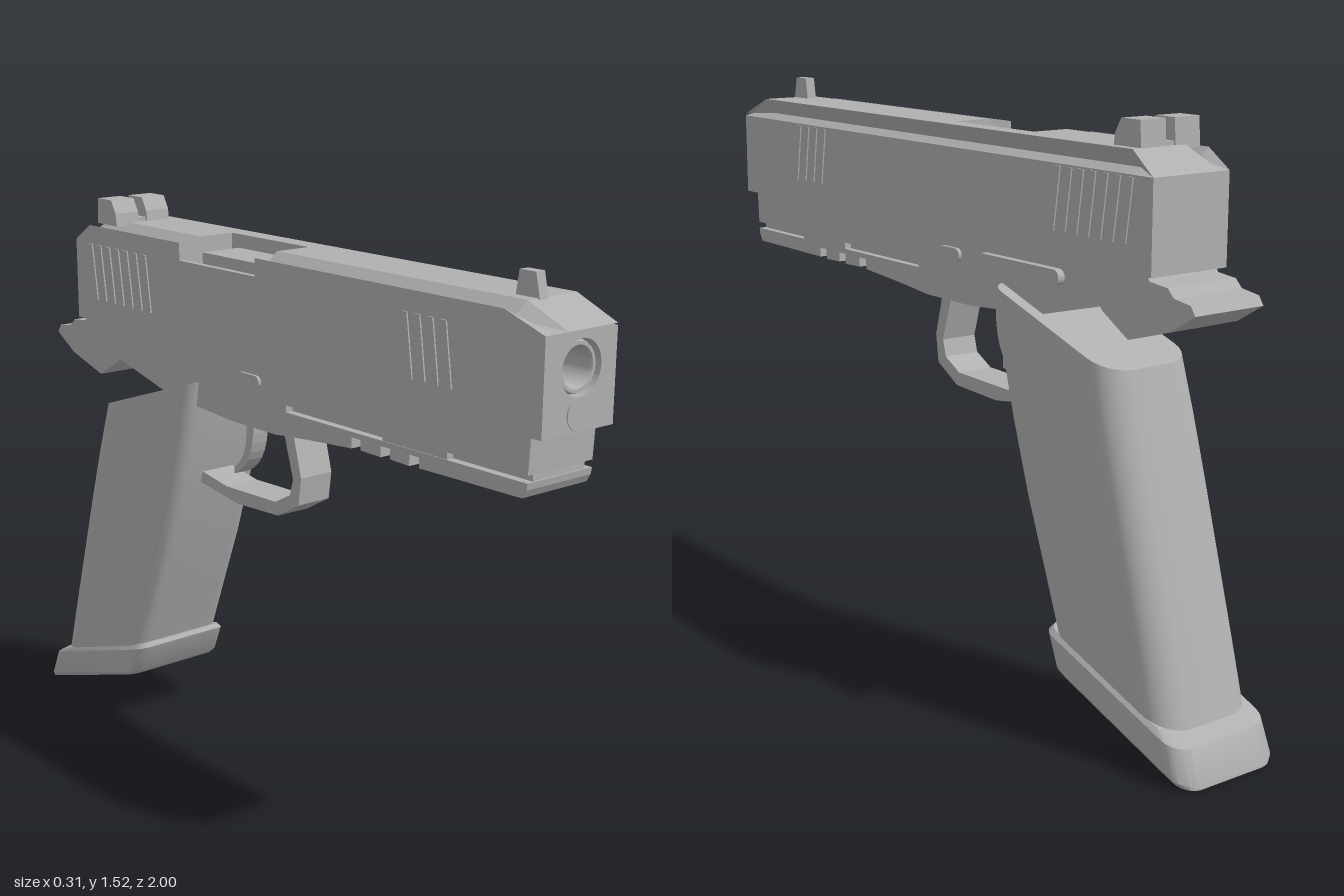
import * as THREE from 'three';
import { toCreasedNormals } from 'three/addons/utils/BufferGeometryUtils.js';

export function createModel() {
  const model = new THREE.Group();
  model.name = 'model';
  const grey = new THREE.MeshStandardMaterial({ color: 0xb0b0b0 });
  grey.name = 'plain grey';

  const add = (name, geo, parent = model) => {
    const mesh = new THREE.Mesh(geo, grey);
    mesh.name = name;
    parent.add(mesh);
    return mesh;
  };
  const shapeOf = pts => new THREE.Shape(pts.map(p => new THREE.Vector2(p[0], p[1])));
  const box = (name, x0, x1, y0, y1, z0, z1, parent) => add(name,
    new THREE.BoxGeometry(x1 - x0, y1 - y0, z1 - z0)
      .translate((x0 + x1) / 2, (y0 + y1) / 2, (z0 + z1) / 2), parent);

  // Side outline of [z, y] points, given width along x
  const side = (name, shape, x0, x1, parent) => {
    const s = Array.isArray(shape) ? shapeOf(shape) : shape;
    const geo = new THREE.ExtrudeGeometry(s, { depth: x1 - x0, bevelEnabled: false, curveSegments: 8 });
    return add(name, geo.rotateY(-Math.PI / 2).translate(x1, 0, 0), parent);
  };

  // Front outline of [x, y] points run along z; end rings may be cut down to a lower top
  const along = (name, shape, z0, z1, steps = 1, rearTop = 9, frontTop = 9) => {
    const geo = new THREE.ExtrudeGeometry(shape, { depth: z1 - z0, steps, bevelEnabled: false, curveSegments: 16 });
    geo.translate(0, 0, z0);
    const p = geo.attributes.position;
    for (let i = 0; i < p.count; i++) {
      if (p.getZ(i) < z0 + 0.001) p.setY(i, Math.min(p.getY(i), rearTop));
      if (p.getZ(i) > z1 - 0.001) p.setY(i, Math.min(p.getY(i), frontTop));
    }
    geo.computeVertexNormals();
    return add(name, geo);
  };

  // Rounded cross-sections, from top to bottom: [frontZ, frontY, backZ, backY, halfWidth]
  const loft = (name, rows, rFront, rBack) => {
    const n = 7, ring = 4 * n, pos = [], idx = [];
    for (const [fz, fy, bz, by, hw] of rows) {
      const len = Math.hypot(fz - bz, fy - by);
      for (let k = 0; k < 4; k++) {
        const sx = k === 0 || k === 3 ? 1 : -1, su = k < 2 ? 1 : -1, r = k < 2 ? rFront : rBack;
        for (let j = 0; j < n; j++) {
          const a = (k + j / (n - 1)) * Math.PI / 2;
          const s = 0.5 - (su * (len / 2 - r) + r * Math.sin(a)) / len;
          pos.push(sx * (hw - r) + r * Math.cos(a), fy + (by - fy) * s, fz + (bz - fz) * s);
        }
      }
    }
    const last = rows.length - 1;
    for (const i of [0, last]) {
      const [fz, fy, bz, by] = rows[i];
      pos.push(0, (fy + by) / 2, (fz + bz) / 2);
    }
    const top = rows.length * ring;
    for (let j = 0; j < ring; j++) {
      const j2 = (j + 1) % ring;
      for (let i = 0; i < last; i++) {
        const a = i * ring + j, b = i * ring + j2;
        idx.push(a, b, b + ring, a, b + ring, a + ring);
      }
      idx.push(top, j2, j, top + 1, last * ring + j, last * ring + j2);
    }
    const geo = new THREE.BufferGeometry();
    geo.setAttribute('position', new THREE.Float32BufferAttribute(pos, 3));
    geo.setIndex(idx);
    return add(name, toCreasedNormals(geo, 0.6));
  };

  // Slide: grooved profile in front of and behind the open port
  const profile = [[-0.118, 1.175], [0.115, 1.175], [0.115, 1.4], [0.09, 1.415], [0.115, 1.457],
    [-0.045, 1.457], [-0.09, 1.42], [-0.118, 1.447]];
  const frontShape = shapeOf(profile);
  frontShape.holes.push(new THREE.Path().absarc(0, 1.32, 0.066, 0, Math.PI * 2, true));
  along('slideFront', frontShape, 0.01, 1, 8, 9, 1.405);
  along('slideRear', shapeOf(profile), -0.805, -0.31, 7, 1.4, 9);
  along('slidePort', shapeOf([...profile.slice(0, 5), [0.06, 1.457], [0.06, 1.37], [-0.1, 1.37],
    [-0.1, 1.4], [-0.118, 1.4]]), -0.31, 0.01);
  box('chamberHood', -0.063, 0.06, 1.3, 1.42, -0.28, 0.01);

  // Barrel with a hollow mouth, and the rod below it
  const barrel = [[0, 0.75], [0.045, 0.75], [0.045, 0.98], [0.05, 0.99], [0.058, 0.99], [0.062, 0.98], [0.062, 0.01]]
    .reverse().map(p => new THREE.Vector2(p[0], p[1]));
  add('barrel', toCreasedNormals(new THREE.LatheGeometry(barrel, 32).rotateX(Math.PI / 2), 0.5))
    .position.y = 1.32;
  add('guideRod', new THREE.CylinderGeometry(0.04, 0.04, 0.1, 24).rotateX(Math.PI / 2))
    .position.set(0, 1.217, 0.953);

  // Slanted grip ridges on both sides of the slide
  const ridges = new THREE.Group();
  ridges.name = 'slideRidges';
  model.add(ridges);
  for (const [start, count] of [[0.7, 4], [-0.465, 7]]) {
    for (let i = 0; i < count; i++) {
      const z = start - i * 0.043;
      const bar = [[z + 0.024, 1.24], [z + 0.004, 1.24], [z - 0.018, 1.395], [z + 0.002, 1.395]];
      side('ridge', bar, 0.113, 0.119, ridges);
      side('ridge', bar, -0.122, -0.116, ridges);
    }
  }

  // Sights
  side('frontSight', [[0.885, 1.45], [0.81, 1.45], [0.82, 1.515], [0.87, 1.515]], -0.014, 0.014);
  const rearSight = [[-0.64, 1.45], [-0.735, 1.45], [-0.73, 1.52], [-0.665, 1.52], [-0.645, 1.485]];
  for (const [a, b] of [[-0.09, -0.014], [0.014, 0.09]]) side('rearSight', rearSight, a, b);
  box('rearSightBase', -0.014, 0.014, 1.45, 1.467, -0.73, -0.65);

  // Frame, with a side groove above the slotted rail
  side('frame', [[0.96, 1.177], [0.955, 1.085], [0.12, 1.085], [0.12, 1.005], [0.08, 1], [-0.1, 1],
    [-0.38, 1.02], [-0.62, 1.08], [-0.8, 1.15], [-0.78, 1.177]], -0.107, 0.105);
  box('grooveCore', -0.085, 0.085, 1.06, 1.09, 0.1, 0.95);
  const rail = [[0.955, 1.067], [0.952, 1.05], [0.94, 1.03]];
  for (const z of [0.61, 0.51, 0.405]) {
    rail.push([z, 1.027], [z, 1.053], [z - 0.033, 1.053], [z - 0.033, 1.025]);
  }
  rail.push([0.2, 1.012], [0.11, 1.003], [0.11, 1.067]);
  side('rail', rail, -0.107, 0.105);
  for (const s of [-1, 1]) box('grooveEnd', s * 0.095 - 0.01, s * 0.095 + 0.01, 1.06, 1.09, 0.48, 0.7);

  // Swept tail behind the grip
  side('tail', [[-0.6, 1.1], [-0.63, 1.07], [-0.72, 1.018], [-0.86, 1.06], [-0.94, 1.108], [-0.925, 1.13],
    [-0.87, 1.138], [-0.85, 1.158], [-0.78, 1.165], [-0.68, 1.14]], -0.105, 0.105);

  // Rounded control plates on the sides
  const pill = (z0, z1, y0, y1) => {
    const r = (y1 - y0) / 2, y = (y0 + y1) / 2;
    return new THREE.Shape().absarc(z1 - r, y, r, -Math.PI / 2, Math.PI / 2, false)
      .absarc(z0 + r, y, r, Math.PI / 2, Math.PI * 1.5, false);
  };
  side('slideStop', pill(-0.49, -0.165, 1.108, 1.148), 0.1, 0.125);
  side('takedownLever', pill(-0.075, 0.02, 1.108, 1.142), 0.1, 0.115);
  side('takedownLever', pill(-0.075, 0.02, 1.108, 1.142), -0.115, -0.1);
  box('releaseButton', 0.105, 0.125, 0.87, 0.91, -0.34, -0.275);

  // Guard loop and curved trigger
  side('triggerGuard', [[0.08, 1.01], [0.115, 0.88], [0.105, 0.805], [0.02, 0.757], [-0.15, 0.75], [-0.36, 0.78],
    [-0.36, 0.815], [-0.2, 0.788], [0.01, 0.793], [0.07, 0.825], [0.083, 0.87], [0.04, 1.01]], -0.052, 0.052);
  const trigger = new THREE.Shape();
  trigger.moveTo(-0.115, 1.01);
  trigger.bezierCurveTo(-0.11, 0.92, -0.13, 0.85, -0.2, 0.82);
  trigger.lineTo(-0.2, 0.838);
  trigger.bezierCurveTo(-0.155, 0.865, -0.135, 0.92, -0.15, 1.01);
  side('trigger', trigger, -0.025, 0.025);

  // Grip and its base
  loft('grip', [
    [-0.245, 1.08, -0.69, 0.935, 0.138],
    [-0.272, 0.93, -0.733, 0.79, 0.143],
    [-0.318, 0.77, -0.778, 0.635, 0.145],
    [-0.38, 0.58, -0.832, 0.45, 0.145],
    [-0.45, 0.4, -0.883, 0.275, 0.145],
    [-0.515, 0.23, -0.932, 0.1, 0.145]], 0.04, 0.08);
  loft('gripBase', [
    [-0.487, 0.262, -0.93, 0.118, 0.143],
    [-0.48, 0.25, -0.965, 0.095, 0.153],
    [-0.515, 0.17, -0.998, 0.015, 0.155],
    [-0.53, 0.155, -1, 0.003, 0.148]], 0.035, 0.05);

  return model;
}
